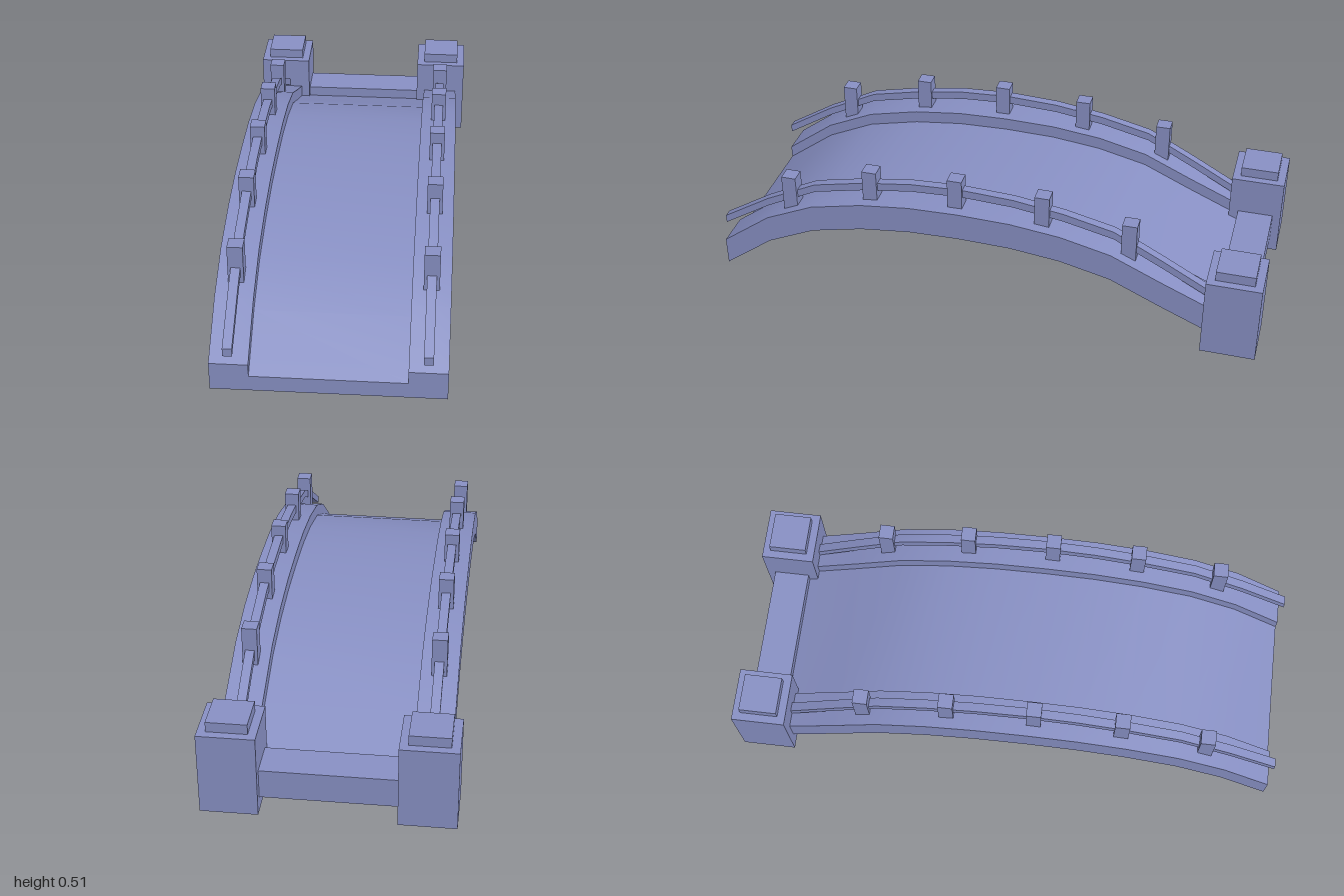
import * as THREE from 'three';
import { toCreasedNormals } from 'three/addons/utils/BufferGeometryUtils.js';

const material = new THREE.MeshStandardMaterial({ color: 0x8890c4 });

// Sweeps an upright [x, y] section (counter-clockwise) along a [z, y] path from front to back.
function sweep(section, path) {
  const n = section.length;
  const positions = [];
  const index = [];
  for (const [z, y] of path) {
    for (const [sx, sy] of section) positions.push(sx, y + sy, z);
  }
  for (let k = 0; k < path.length - 1; k++) {
    for (let i = 0; i < n; i++) {
      const j = (i + 1) % n;
      const a = k * n + i, b = k * n + j, c = a + n, d = b + n;
      index.push(a, c, d, a, d, b);
    }
  }
  // End caps
  const last = (path.length - 1) * n;
  const outline = section.map(([x, y]) => new THREE.Vector2(x, y));
  for (const [a, b, c] of THREE.ShapeUtils.triangulateShape(outline, [])) {
    index.push(a, b, c, last + a, last + c, last + b);
  }
  const geometry = new THREE.BufferGeometry();
  geometry.setAttribute('position', new THREE.Float32BufferAttribute(positions, 3));
  geometry.setIndex(index);
  return toCreasedNormals(geometry, 0.6);
}

function addMesh(parent, name, geometry) {
  const mesh = new THREE.Mesh(geometry, material);
  mesh.name = name;
  parent.add(mesh);
  return mesh;
}

// Box given by its centre in x and z and its bottom and top heights
function addBox(parent, name, x, z, width, depth, bottom, top) {
  const mesh = addMesh(parent, name, new THREE.BoxGeometry(width, top - bottom, depth));
  mesh.position.set(x, (bottom + top) / 2, z);
  return mesh;
}

export function createModel() {
  const bridge = new THREE.Group();
  bridge.name = 'archedBridge';

  // Arched walkway with a raised kerb on each side; the path follows its underside
  const archPath = [
    [0.985, 0.008], [0.805, 0.142], [0.63, 0.222], [0.44, 0.265], [0.26, 0.286], [0.08, 0.291],
    [-0.11, 0.286], [-0.29, 0.265], [-0.47, 0.222], [-0.645, 0.142], [-0.85, 0.053],
  ];
  const deckSection = [
    [-0.39, 0], [0.39, 0], [0.39, 0.104], [0.26, 0.104],
    [0.26, 0.058], [-0.26, 0.058], [-0.26, 0.104], [-0.39, 0.104],
  ];
  addMesh(bridge, 'walkway', sweep(deckSection, archPath));

  // Level sill between the end pillars
  addBox(bridge, 'endSill', 0, -0.905, 0.6, 0.13, 0.05, 0.155);

  const railPath = [
    [0.998, 0.155], [0.82, 0.265], [0.63, 0.36], [0.44, 0.402], [0.26, 0.428], [0.08, 0.437],
    [-0.11, 0.428], [-0.29, 0.402], [-0.47, 0.36], [-0.645, 0.268], [-0.84, 0.16],
  ];
  const railSection = [[-0.016, 0], [0.016, 0], [0.016, 0.03], [-0.016, 0.03]];
  const posts = [[0.725, 0.41], [0.415, 0.487], [0.1, 0.506], [-0.215, 0.492], [-0.525, 0.432]];

  for (const side of [1, -1]) {
    const label = side > 0 ? 'left' : 'right';
    const x = side * 0.324;

    // Handrail and its posts
    addMesh(bridge, label + 'Handrail', sweep(railSection, railPath)).position.x = x;
    posts.forEach(([z, top], i) => {
      addBox(bridge, label + 'Post' + (i + 1), x, z, 0.053, 0.053, top - 0.142, top);
    });

    // End pillar with its cap
    addBox(bridge, label + 'Pillar', side * 0.325, -0.903, 0.194, 0.194, 0, 0.296);
    addBox(bridge, label + 'PillarCap', side * 0.325, -0.903, 0.137, 0.137, 0.29, 0.332);
  }
  return bridge;
}
